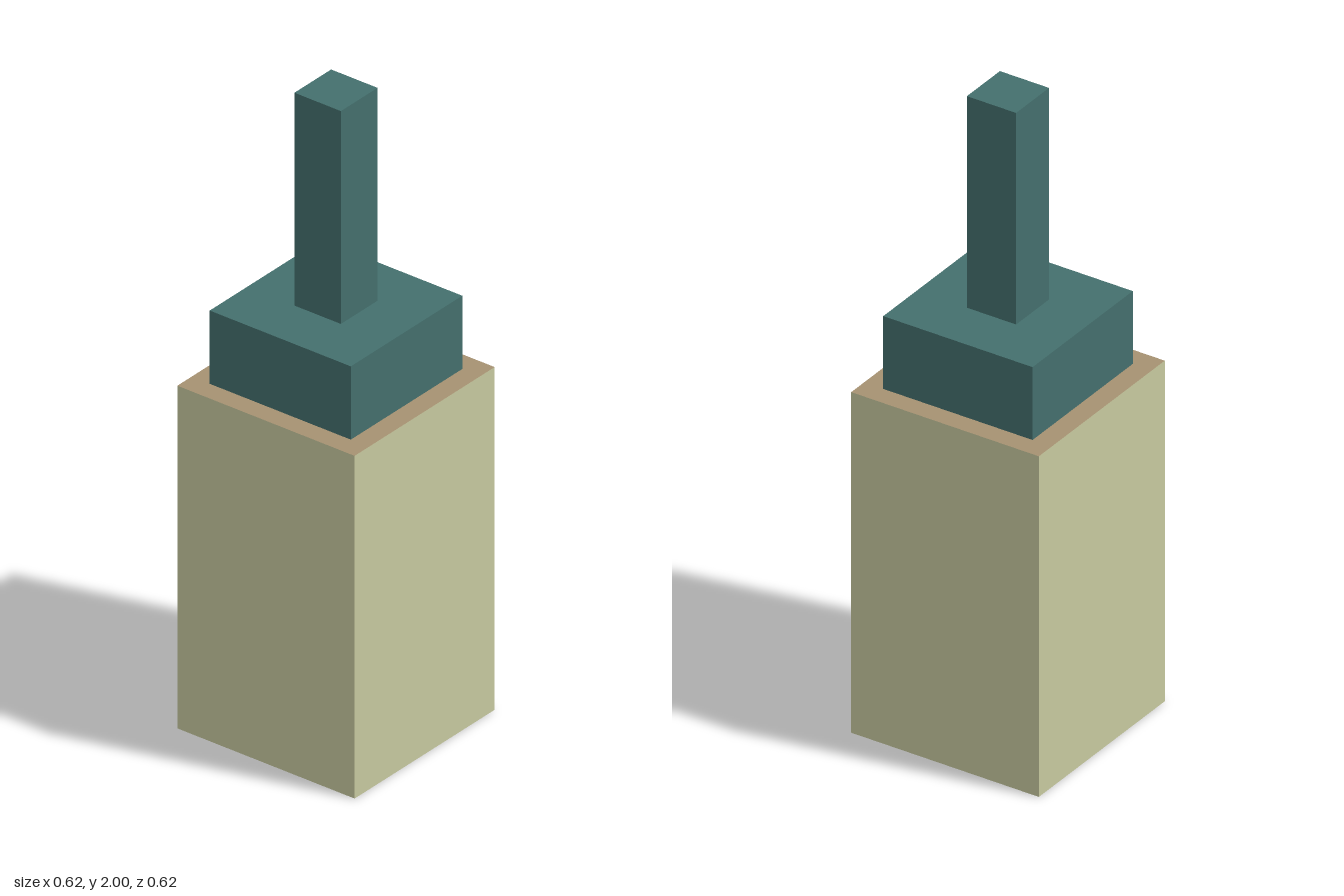
import * as THREE from 'three';

const material = (name, color) => {
  const m = new THREE.MeshStandardMaterial({ color });
  m.name = name;
  return m;
};

export function createModel() {
  const wall = material('pale khaki', 0xc7c99f);
  const roof = material('tan', 0xa69272);
  const teal = material('teal', 0x446f6d);
  const grey = material('grey teal', 0x70857f);

  const model = new THREE.Group();
  model.name = 'tower';

  const add = (name, geometry, mat, x, y, z) => {
    const mesh = new THREE.Mesh(geometry, mat);
    mesh.name = name;
    mesh.position.set(x, y, z);
    model.add(mesh);
    return mesh;
  };

  // Square block standing between two heights, open underneath
  const block = (name, width, y0, y1, side, top) => {
    const geometry = new THREE.BoxGeometry(width, y1 - y0, width);
    // Box face order: +x, -x, +y, -y, +z, -z; the underside is left out
    const groups = geometry.groups;
    geometry.groups = groups.filter((g, i) => i !== 3);
    add(name, geometry, [side, side, top, top, side, side], 0, (y0 + y1) / 2, 0);
  };

  const W = 0.622;
  block('mainBody', W, 0, 1.09, wall, roof);
  block('upperTier', 0.495, 1.09, 1.323, teal, teal);
  block('mast', 0.163, 1.323, 2, teal, teal);

  // Underside in two halves
  for (const [name, sign, mat] of [['undersideLeft', 1, grey], ['undersideRight', -1, teal]]) {
    const half = new THREE.PlaneGeometry(W / 2, W).rotateX(Math.PI / 2);
    add(name, half, mat, (sign * W) / 4, 0, 0);
  }

  return model;
}
